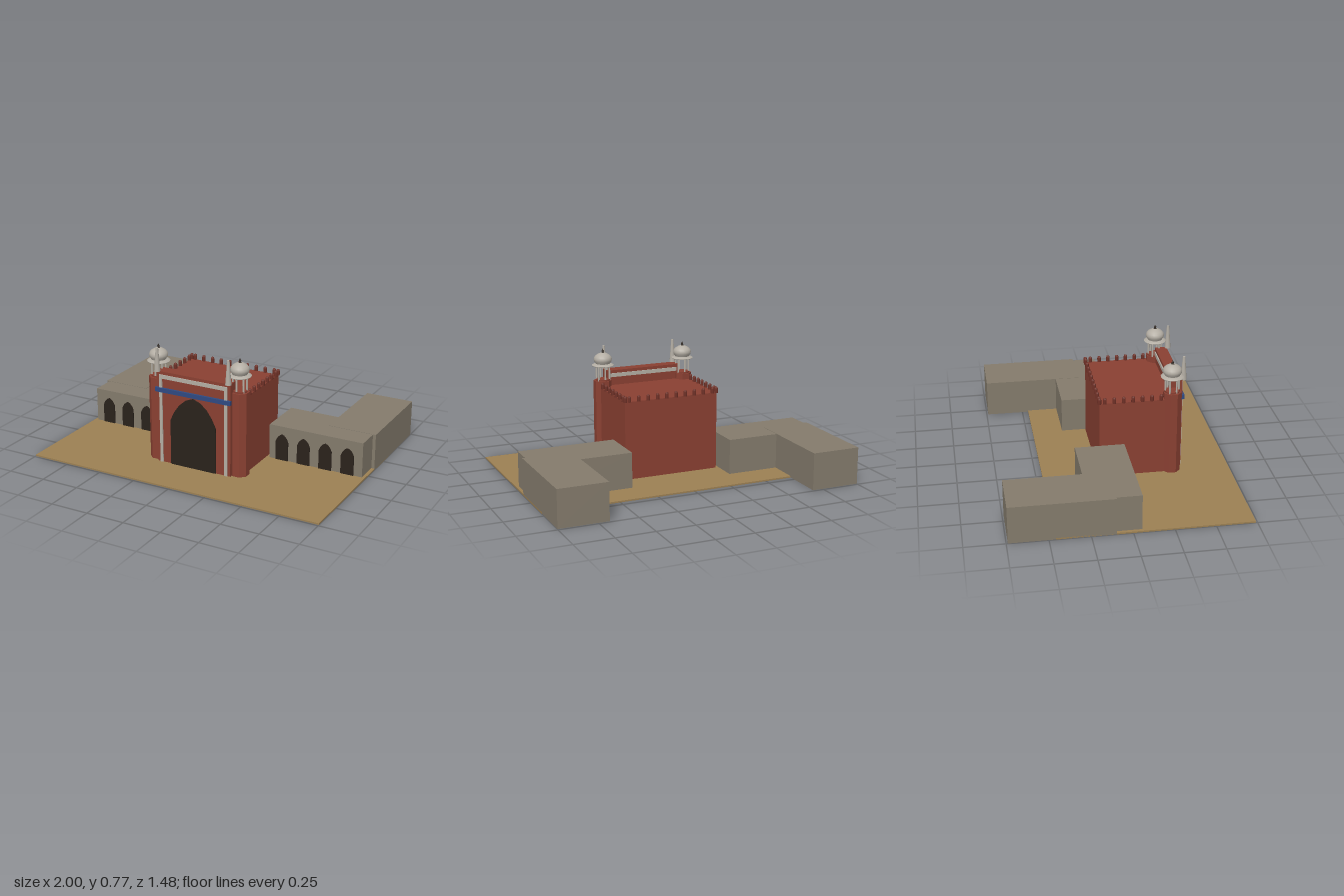
import * as THREE from 'three';

const mat = (color, extra = {}) => {
  const m = new THREE.MeshStandardMaterial(extra);
  m.color.set(color);
  return m;
};
const RED = mat(0x8a4032);
const TRIM_RED = mat(0x6e3026);
const STONE = mat(0x847b6c);
const EARTH = mat(0x9c8053);
const DARK = mat(0x2a221b);
const MARBLE = mat(0xb4aea4);
const BLUE = mat(0x2f4a82);
const FACETED_RED = mat(0x8a4032, { flatShading: true });

function add(parent, name, geometry, material, x = 0, y = 0, z = 0) {
  const mesh = new THREE.Mesh(geometry, material);
  mesh.name = name;
  mesh.position.set(x, y, z);
  parent.add(mesh);
  return mesh;
}

// Box given by its extents on each axis
function block(parent, name, material, [x0, x1], [y0, y1], [z0, z1]) {
  return add(parent, name, new THREE.BoxGeometry(x1 - x0, y1 - y0, z1 - z0), material,
    (x0 + x1) / 2, (y0 + y1) / 2, (z0 + z1) / 2);
}

// Pointed arch panel standing on its base line
function archGeometry(halfWidth, spring, apex, depth) {
  const rise = apex - spring;
  const side = [[1, 0], [0.82, 0.35], [0.6, 0.65], [0.32, 0.88]];
  const s = new THREE.Shape();
  s.moveTo(-halfWidth, 0);
  s.lineTo(halfWidth, 0);
  side.forEach(([u, v]) => s.lineTo(u * halfWidth, spring + v * rise));
  s.lineTo(0, apex);
  [...side].reverse().forEach(([u, v]) => s.lineTo(-u * halfWidth, spring + v * rise));
  return new THREE.ExtrudeGeometry(s, { depth, bevelEnabled: false });
}

const lathe = (points, segments) =>
  new THREE.LatheGeometry(points.map(([r, y]) => new THREE.Vector2(r, y)), segments);

// Domed kiosk on slim columns
function makeKiosk() {
  const g = new THREE.Group();
  g.name = 'kiosk';
  add(g, 'kioskBase', new THREE.CylinderGeometry(0.05, 0.05, 0.012, 8), RED, 0, 0.004, 0);
  const column = new THREE.CylinderGeometry(0.006, 0.006, 0.11, 8);
  for (let i = 0; i < 6; i++) {
    const a = (i / 6) * Math.PI * 2 + Math.PI / 6;
    add(g, 'kioskColumn', column, MARBLE, 0.043 * Math.cos(a), 0.055, 0.043 * Math.sin(a));
  }
  add(g, 'eave', lathe([[0, 0.098], [0.07, 0.098], [0.073, 0.103], [0.05, 0.113], [0, 0.113]], 20),
    MARBLE);
  add(g, 'dome', lathe([[0.046, 0.108], [0.05, 0.118], [0.058, 0.13], [0.06, 0.143], [0.056, 0.157],
    [0.045, 0.169], [0.028, 0.179], [0.012, 0.185], [0, 0.188]], 20), MARBLE);
  add(g, 'finial', lathe([[0.013, 0.183], [0.006, 0.19], [0.008, 0.197], [0.003, 0.204], [0, 0.214]], 10),
    DARK);
  return g;
}

export function createModel() {
  const model = new THREE.Group();
  model.name = 'gateway';

  block(model, 'ground', EARTH, [-1, 1], [0, 0.01], [-0.46, 0.74]);

  // Main gatehouse and its raised portal
  const gate = new THREE.Group();
  gate.name = 'gatehouse';
  model.add(gate);
  block(gate, 'gateBlock', RED, [-0.32, 0.32], [0.002, 0.52], [-0.1, 0.37]);
  block(gate, 'portal', RED, [-0.26, 0.26], [0.002, 0.62], [0.36, 0.435]);
  add(gate, 'portalArch', archGeometry(0.16, 0.3, 0.468, 0.012), DARK, 0, 0.011, 0.432);
  block(gate, 'frameTop', MARBLE, [-0.24, 0.24], [0.575, 0.6], [0.353, 0.442]);
  block(gate, 'blueBand', BLUE, [-0.265, 0.265], [0.487, 0.515], [0.43, 0.45]);

  // Battlements along the back and both sides of the roof
  const merlonBody = lathe([[0.012, 0], [0.012, 0.028], [0.009, 0.037], [0, 0.042]], 8);
  const merlon = (x, z) => add(gate, 'merlon', merlonBody, TRIM_RED, x, 0.518, z);
  for (let i = 0; i < 10; i++) merlon(-0.29 + i * 0.0645, -0.1);
  for (let i = 0; i < 7; i++) {
    merlon(0.317, -0.066 + i * 0.0593);
    merlon(-0.317, -0.066 + i * 0.0593);
  }
  merlon(0.317, -0.1);
  merlon(-0.317, -0.1);

  const towerGeometry = new THREE.CylinderGeometry(0.06, 0.06, 0.558, 8).rotateY(Math.PI / 8);
  const pinnacleGeometry = new THREE.CylinderGeometry(0.008, 0.02, 0.155, 8);
  const smallArch = archGeometry(0.043, 0.125, 0.175, 0.01);

  for (const s of [-1, 1]) {
    const span = (a, b) => (s > 0 ? [a, b] : [-b, -a]);

    // Corner tower, kiosk and pinnacle
    add(gate, 'tower', towerGeometry, FACETED_RED, s * 0.29, 0.281, 0.365);
    const kiosk = makeKiosk();
    kiosk.position.set(s * 0.287, 0.56, 0.363);
    gate.add(kiosk);
    add(gate, 'pinnacle', pinnacleGeometry, MARBLE, s * 0.25, 0.6975, 0.442);
    block(gate, 'frameSide', MARBLE, span(0.22, 0.24), [0.01, 0.576], [0.43, 0.442]);

    // Arcaded front wing with the rear wing behind it
    const wing = new THREE.Group();
    wing.name = s > 0 ? 'leftWing' : 'rightWing';
    model.add(wing);
    block(wing, 'frontWing', STONE, span(0.34, 0.98), [0.002, 0.239], [-0.26, 0.055]);
    block(wing, 'rearWing', STONE, span(0.68, 1), [0.001, 0.241], [-0.74, -0.1]);
    for (let i = 0; i < 4; i++) {
      add(wing, 'wingArch', smallArch, DARK, s * (0.43 + i * 0.15), 0.011, 0.053);
    }
  }
  return model;
}
